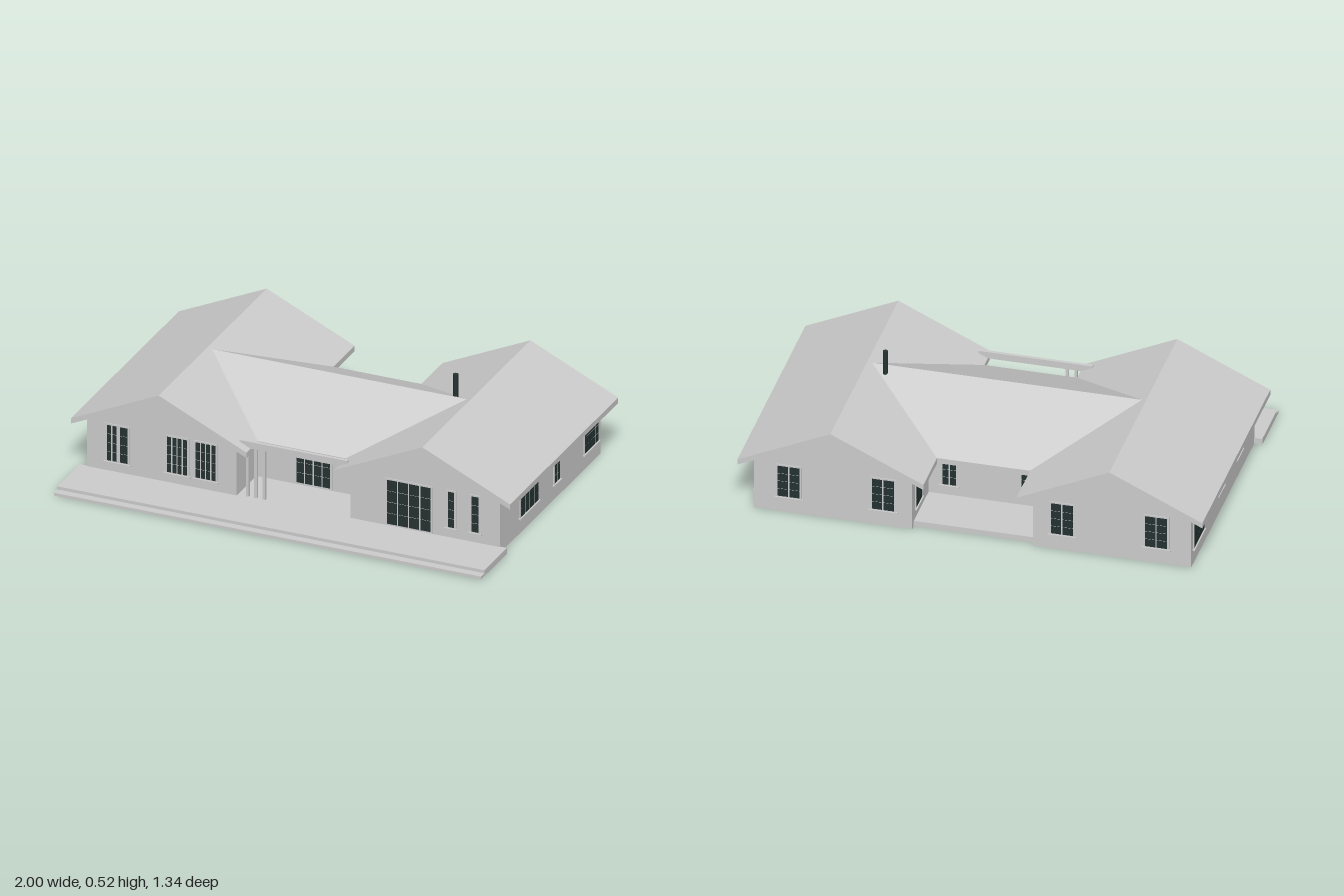
import * as THREE from 'three';

const shell = new THREE.MeshStandardMaterial({ color: 0xcccccc });
shell.name = 'pale grey';
const dark = new THREE.MeshStandardMaterial({ color: 0x243231 });
dark.name = 'dark glass';

function add(parent, name, geo, mat = shell) {
  const m = new THREE.Mesh(geo, mat);
  m.name = name;
  parent.add(m);
  return m;
}

// Box given by its minimum and maximum corners
function box(parent, name, [x0, y0, z0], [x1, y1, z1], mat = shell) {
  const m = add(parent, name, new THREE.BoxGeometry(x1 - x0, y1 - y0, z1 - z0), mat);
  m.position.set((x0 + x1) / 2, (y0 + y1) / 2, (z0 + z1) / 2);
  return m;
}

// Outline in x,y extruded from z0 to z1
function prism(parent, name, pts, z0, z1) {
  const shape = new THREE.Shape(pts.map(p => new THREE.Vector2(...p)));
  const geo = new THREE.ExtrudeGeometry(shape, { depth: z1 - z0, bevelEnabled: false });
  geo.translate(0, 0, z0);
  return add(parent, name, geo);
}

// Window centred on its own origin, facing +z: frame, sill and a grid of panes
function makeWindow(w, h, cols, rows, sill = true) {
  const g = new THREE.Group();
  g.name = 'window';
  const b = 0.006;
  box(g, 'windowFrame', [-w / 2 - b, -h / 2 - b, -0.002], [w / 2 + b, h / 2 + b, 0.004]);
  if (sill) box(g, 'windowSill', [-w / 2 - 0.012, -h / 2 - 0.009, 0], [w / 2 + 0.012, -h / 2 - 0.003, 0.01]);
  const pw = w / cols, ph = h / rows;
  for (let c = 0; c < cols; c++) {
    const bar = 0.003;
    for (let r = 0; r < rows; r++) {
      const x = -w / 2 + c * pw, y = -h / 2 + r * ph;
      box(g, 'windowPane', [x + bar, y + 0.0012, 0.003], [x + pw - bar, y + ph - 0.0012, 0.0055], dark);
    }
  }
  return g;
}

export function createModel() {
  const house = new THREE.Group();
  house.name = 'house';

  // Floor slab, front terrace and its lower step
  box(house, 'floorSlab', [-0.935, 0, -0.6], [0.935, 0.025, 0.42]);
  box(house, 'terrace', [-0.975, 0, 0.4], [0.97, 0.027, 0.63]);
  box(house, 'terraceStep', [-0.975, 0, 0.63], [0.97, 0.013, 0.665]);

  // Two gabled wings
  for (const s of [-1, 1]) {
    const wing = new THREE.Group();
    wing.name = s > 0 ? 'leftWing' : 'rightWing';
    wing.position.x = 0.6 * s;
    house.add(wing);
    prism(wing, 'wingWalls',
      [[-0.34, 0], [0.34, 0], [0.34, 0.253], [0, 0.411], [-0.34, 0.253]], -0.625, 0.405);
    prism(wing, 'wingRoof',
      [[-0.4, 0.225], [0, 0.41], [0.4, 0.225], [0.4, 0.25], [0, 0.435], [-0.4, 0.25]], -0.67, 0.435);
  }

  // Central block between the wings
  box(house, 'centreWalls', [-0.3, 0, -0.36], [0.3, 0.285, 0.2]);

  // Central roof: ridge along x, meeting the wing roofs in valleys
  const top = [[-0.58, 0.43, -0.065], [0.58, 0.43, -0.065],
    [-0.2, 0.252, 0.32], [0.2, 0.252, 0.32], [-0.2, 0.252, -0.45], [0.2, 0.252, -0.45]];
  const low = top.map(([x, y, z]) => [x, y - 0.025, z]);
  const quads = [[0, 2, 3, 1], [0, 1, 5, 4], [6, 7, 9, 8], [6, 10, 11, 7],
    [2, 8, 9, 3], [5, 11, 10, 4]];
  const all = [...top, ...low], pos = [];
  for (const [a, b, c, d] of quads)
    for (const i of [a, b, c, a, c, d]) pos.push(...all[i]);
  const roofGeo = new THREE.BufferGeometry();
  roofGeo.setAttribute('position', new THREE.Float32BufferAttribute(pos, 3));
  roofGeo.computeVertexNormals();
  add(house, 'centreRoof', roofGeo);

  // Porch beam and slim posts
  box(house, 'porchBeam', [-0.25, 0.25, 0.378], [0.24, 0.28, 0.393]);
  for (const x of [-0.215, -0.178, -0.14])
    box(house, 'porchPost', [x - 0.006, 0.025, 0.379], [x + 0.006, 0.252, 0.392]);

  // Chimney pipe
  const pipe = add(house, 'chimney', new THREE.CylinderGeometry(0.011, 0.011, 0.2, 16), dark);
  pipe.position.set(0.514, 0.418, -0.1);

  // Windows: wall, span along the wall, height range, panes across and up
  const walls = {
    front: (u) => [u, 0.405, 0],
    entry: (u) => [u, 0.2, 0],
    back: (u) => [u, -0.625, Math.PI],
    court: (u) => [u, -0.36, Math.PI],
    left: (u) => [0.94, u, Math.PI / 2],
    right: (u) => [-0.94, u, -Math.PI / 2],
    leftInner: (u) => [0.26, u, -Math.PI / 2],
    rightInner: (u) => [-0.26, u, Math.PI / 2],
  };
  const windows = [
    ['front', -0.85, -0.80, 0.075, 0.24, 2, 4], ['front', -0.79, -0.75, 0.075, 0.24, 1, 4],
    ['front', -0.575, -0.48, 0.075, 0.24, 4, 4], ['front', -0.445, -0.35, 0.075, 0.24, 4, 4],
    ['front', 0.425, 0.628, 0.035, 0.24, 4, 4], ['front', 0.703, 0.737, 0.075, 0.24, 1, 4],
    ['front', 0.81, 0.847, 0.075, 0.24, 1, 4],
    ['entry', -0.078, 0.08, 0.035, 0.225, 4, 4],
    ['left', 0.02, 0.2, 0.075, 0.222, 4, 4], ['left', -0.198, -0.145, 0.075, 0.222, 2, 4],
    ['left', -0.595, -0.455, 0.075, 0.222, 4, 4],
    ['right', -0.59, -0.43, 0.075, 0.222, 4, 4], ['right', -0.19, -0.11, 0.1, 0.222, 2, 3],
    ['right', 0.11, 0.19, 0.1, 0.222, 2, 3],
    ['leftInner', -0.57, -0.48, 0.075, 0.222, 2, 4], ['rightInner', -0.57, -0.48, 0.075, 0.222, 2, 4],
  ];
  for (const s of [-1, 1])
    for (const [wall, u] of [['back', 0.385], ['back', 0.79], ['court', 0.17]]) {
      const half = wall === 'back' ? 0.05 : 0.032;
      windows.push([wall, s * u - half, s * u + half, 0.075, 0.222, 2, 4]);
    }
  for (const [wall, u0, u1, y0, y1, cols, rows] of windows) {
    const [x, z, turn] = walls[wall]((u0 + u1) / 2);
    const win = makeWindow(u1 - u0, y1 - y0, cols, rows, y0 > 0.05);
    win.position.set(x, (y0 + y1) / 2, z);
    win.rotation.y = turn;
    house.add(win);
  }

  return house;
}
